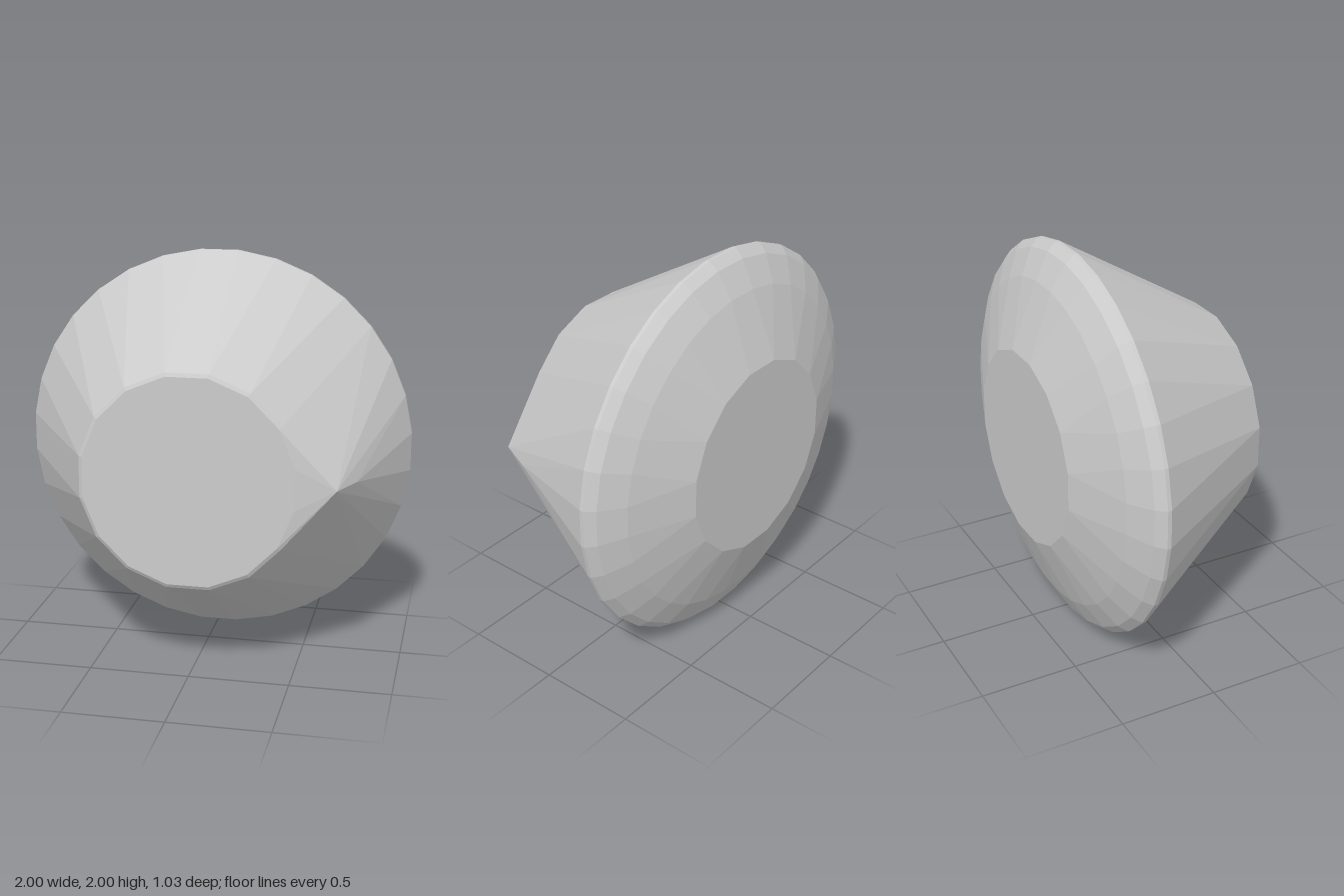
import * as THREE from 'three';
import { ConvexGeometry } from 'three/addons/geometries/ConvexGeometry.js';

// Points of a faceted ring facing z, with flats on the axes
function ring(radius, z, sides) {
  const points = [];
  const corner = radius / Math.cos(Math.PI / sides);
  for (let i = 0; i < sides; i++) {
    const a = ((i + 0.5) / sides) * Math.PI * 2;
    points.push(new THREE.Vector3(Math.cos(a) * corner, 1 + Math.sin(a) * corner, z));
  }
  return points;
}

export function createModel() {
  const group = new THREE.Group();
  group.name = 'pointerKnob';
  const material = new THREE.MeshStandardMaterial({ color: 0xcccccc, flatShading: true });

  const points = [
    // flat front face with a fine bevel
    ...ring(0.515, 0.517, 16),
    ...ring(0.533, 0.507, 16),
    // wide rim
    ...ring(1, -0.255, 32),
    ...ring(1, -0.275, 32),
    // domed back, ending in a flat
    ...ring(0.96, -0.32, 32),
    ...ring(0.83, -0.392, 32),
    ...ring(0.49, -0.517, 16),
    // pointer tip on the left side of the face
    new THREE.Vector3(0.71, 1, 0.49),
    new THREE.Vector3(0.785, 1, 0.32),
  ];

  const knob = new THREE.Mesh(new ConvexGeometry(points), material);
  knob.name = 'knobBody';
  group.add(knob);
  return group;
}
